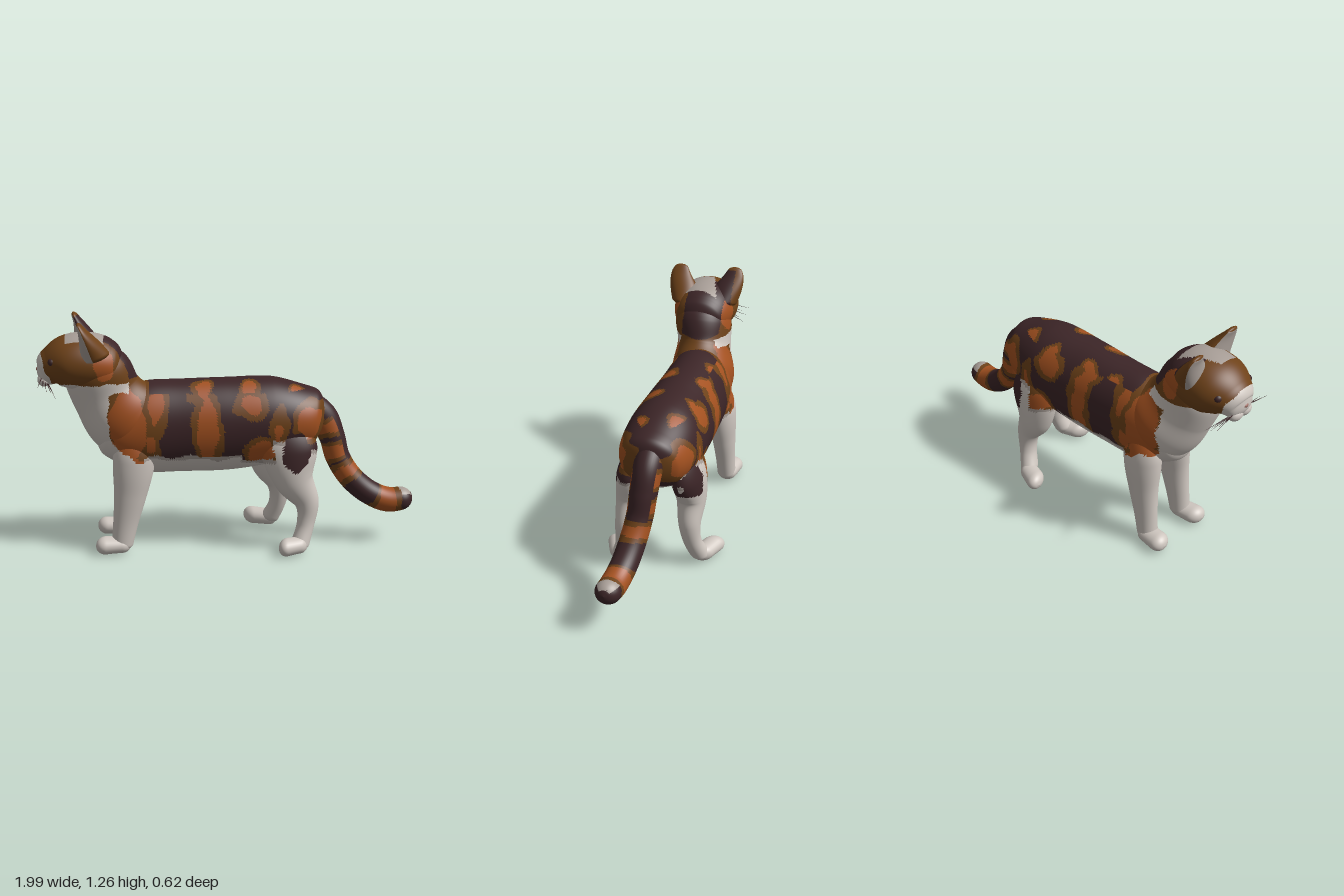
import * as THREE from 'three';

const mat = (name, color) => {
  const m = new THREE.MeshStandardMaterial({ color });
  m.name = name;
  return m;
};
const WHITE = 0, GREY = 1, ORANGE = 2, BROWN = 3, DARK = 4, PINK = 5;

// Ragged edge for the coat patches
const wobble = (x, y, z) =>
  0.009 * Math.sin(31 * x + 17 * y + 9 * z) + 0.005 * Math.sin(53 * y - 41 * x + 23 * z);

// Orange flank patches: x, y, radius x, radius y (same on both sides)
const patches = [
  [-0.53, 0.72, 0.095, 0.19], [-0.385, 0.82, 0.03, 0.09], [-0.12, 0.68, 0.05, 0.17],
  [-0.15, 0.86, 0.035, 0.03], [0.11, 0.81, 0.06, 0.05], [0.16, 0.56, 0.065, 0.06],
  [0.41, 0.71, 0.07, 0.085], [0.25, 0.67, 0.018, 0.05], [-0.42, 0.61, 0.03, 0.05],
];
// Small spots beside the dark line of the back: x, z, radius
const backSpots = [[-0.3, -0.11, 0.03], [-0.14, 0.09, 0.045], [-0.13, -0.12, 0.035], [0.1, 0.11, 0.045],
  [0.12, -0.13, 0.03], [0.31, -0.1, 0.04], [0.36, 0.11, 0.04]];

function bodyColor(x0, y0, z) {
  const n = wobble(x0, y0, z), x = x0 + n, y = y0 + n;
  if (x < -0.625 || (x < -0.52 && y > 0.88)) return WHITE;
  const onThigh = x > 0.22;
  if (onThigh && x < 0.42 && Math.abs(z) < 0.09 && y < 0.55) return WHITE;
  // dark spot on the thigh, ringed by pale fur
  if (onThigh && Math.hypot((x - 0.34) / 0.068, (y - 0.555) / 0.095) < 1) return DARK;
  const edge = x < -0.45 ? 0.56 - (x + 0.5) * 0.5 : x < 0.05 ? 0.54 : x < 0.22 ? 0.51 : x < 0.4 ? 0.63 : 0.56;
  if (y < edge - 0.02) return WHITE;
  if (y < edge) return x < -0.45 ? ORANGE : GREY;
  let d = 9;
  if (y0 > 0.865 && x > -0.42) {
    for (const [px, pz, r] of backSpots) d = Math.min(d, Math.hypot(x - px, z + n - pz) - r);
    return d < 0 ? ORANGE : d < 0.02 ? BROWN : DARK;
  }
  for (const [px, py, rx, ry] of patches) {
    const r = Math.hypot((x - px) / rx, (y - py) / ry);
    d = Math.min(d, (r - 1) * Math.min(rx, ry));
  }
  if (d < 0) return ORANGE;
  return d < 0.03 || x < -0.42 ? BROWN : DARK;
}

const HZ = 0.065; // the head sits a little to one side
function headColor(x0, y0, z) {
  const n = wobble(x0, y0, z) * 0.7, x = x0 + n, y = y0 + n, dz = z - HZ;
  if (y < 0.935 || x < -0.93 - (y - 1) * 0.4) return WHITE;
  // pale patch running from the left ear across the forehead
  if (y > 1.1 && x > -0.84 && x < -0.64 && dz > -0.09 - (x + 0.64) * 0.35 && dz < 0.1) return GREY;
  if (x > -0.77 && y > 0.955 && dz > -0.13 && dz < 0.075) return DARK;
  if (Math.hypot((x + 0.645) / 0.055, (y - 1.04) / 0.085) < 1) return ORANGE;
  return BROWN;
}
const neckColor = (x, y, z) => (y > 0.935 ? headColor(x, y, z) : bodyColor(x, y, z));

function tailColor(x, y, z, u, a) {
  const v = u + wobble(x, y, z);
  if (v > 0.93) return Math.cos(a) < -0.6 && v < 0.985 ? GREY : DARK;
  if (v > 0.74) return v > 0.9 || v < 0.77 ? BROWN : ORANGE;
  if (v > 0.58) return DARK;
  if (v > 0.45) return v > 0.48 && v < 0.55 ? ORANGE : BROWN;
  if (Math.cos(a) < -0.55) return DARK; // dark ridge along the top
  return Math.sin(38 * v) > 0.2 ? ORANGE : Math.sin(38 * v) > -0.8 ? BROWN : DARK;
}

export function createModel() {
  const cat = new THREE.Group();
  cat.name = 'cat';
  const materials = [
    mat('white fur', 0xcfc7c0), mat('grey fur', 0xa89e97), mat('orange fur', 0xa35120),
    mat('brown fur', 0x6e4219), mat('dark fur', 0x3c2527), mat('pink nose', 0x9a6a60),
  ];

  // Sweeps an ellipse along rows of [x, y, z, half depth, half width], with rounded ends.
  // Each face takes its colour from color(x, y, z, u, angle).
  function loft(name, rows, color, { n = 60, m = 40, cap0 = 0.1, cap1 = 0.1 } = {}) {
    const path = new THREE.CatmullRomCurve3(rows.map((r) => new THREE.Vector3(r[0], r[1], r[2])), false, 'catmullrom');
    const size = new THREE.CatmullRomCurve3(rows.map((r) => new THREE.Vector3(r[3], r[4], 0)), false, 'catmullrom');
    const pos = [], faces = materials.map(() => []);
    const param = (i) => {
      const t = i / n;
      return 0.5 * t + 0.25 * (1 - Math.cos(Math.PI * t));
    };
    for (let i = 0; i <= n; i++) {
      const u = param(i), p = path.getPoint(u), s = size.getPoint(u), t = path.getTangent(u);
      const len = Math.hypot(t.x, t.y) || 1;
      const e = Math.min(1, u / cap0, (1 - u) / cap1);
      const k = Math.max(0.002, Math.sqrt(Math.max(0, 1 - (1 - e) ** 2)));
      for (let j = 0; j < m; j++) {
        const a = (j / m) * Math.PI * 2, c = Math.cos(a) * s.x * k;
        pos.push(p.x + (t.y / len) * c, p.y - (t.x / len) * c, p.z + Math.sin(a) * s.y * k);
      }
    }
    const mid = (q, o) => (pos[q[0] * 3 + o] + pos[q[1] * 3 + o] + pos[q[2] * 3 + o]) / 3;
    for (let i = 0; i < n; i++) for (let j = 0; j < m; j++) {
      const a = i * m + j, b = i * m + ((j + 1) % m), c = a + m, d = b + m;
      for (const q of [[a, c, b], [b, c, d]]) {
        const id = typeof color === 'number' ? color
          : color(mid(q, 0), mid(q, 1), mid(q, 2), param(i + 0.5), ((j + 0.5) / m) * Math.PI * 2);
        faces[id].push(...q);
      }
    }
    const g = new THREE.BufferGeometry();
    g.setAttribute('position', new THREE.Float32BufferAttribute(pos, 3));
    g.setIndex(faces.flat());
    let start = 0;
    faces.forEach((f, id) => {
      if (f.length) g.addGroup(start, f.length, id);
      start += f.length;
    });
    g.computeVertexNormals();
    const mesh = new THREE.Mesh(g, materials);
    mesh.name = name;
    cat.add(mesh);
  }

  function ball(name, id, x, y, z, sx, sy, sz) {
    const mesh = new THREE.Mesh(new THREE.SphereGeometry(1, 20, 14), materials[id]);
    mesh.position.set(x, y, z);
    mesh.scale.set(sx, sy, sz);
    mesh.name = name;
    cat.add(mesh);
  }

  // Trunk, neck, head and tail
  loft('torso', [
    [0.51, 0.69, 0.01, 0.13, 0.11], [0.41, 0.70, 0.01, 0.17, 0.175], [0.24, 0.69, 0.005, 0.23, 0.205],
    [0.0, 0.67, 0.01, 0.25, 0.2], [-0.25, 0.665, 0.01, 0.25, 0.19], [-0.45, 0.665, 0.015, 0.245, 0.182],
    [-0.60, 0.68, 0.02, 0.19, 0.155], [-0.70, 0.70, 0.02, 0.12, 0.10],
  ], bodyColor, { n: 180, m: 110 });
  loft('neck', [
    [-0.42, 0.62, 0.015, 0.19, 0.16], [-0.55, 0.73, 0.02, 0.215, 0.175], [-0.635, 0.85, 0.04, 0.185, 0.15],
    [-0.685, 0.98, 0.06, 0.175, 0.158], [-0.73, 1.10, 0.065, 0.12, 0.13],
  ], neckColor, { n: 110, m: 90, cap0: 0.2, cap1: 0.2 });
  loft('head', [
    [-0.545, 1.01, HZ, 0.07, 0.09], [-0.62, 1.02, HZ, 0.122, 0.145], [-0.72, 1.035, HZ, 0.147, 0.172],
    [-0.83, 1.03, HZ, 0.142, 0.168], [-0.91, 1.005, HZ, 0.106, 0.125], [-0.955, 0.975, HZ, 0.068, 0.083],
    [-0.987, 0.962, HZ, 0.048, 0.058],
  ], headColor, { n: 110, m: 90, cap0: 0.12, cap1: 0.12 });
  loft('tail', [
    [0.40, 0.78, 0.0, 0.08, 0.08], [0.50, 0.695, 0.0, 0.082, 0.075], [0.555, 0.59, 0.005, 0.07, 0.072],
    [0.59, 0.47, 0.015, 0.066, 0.07], [0.66, 0.36, 0.03, 0.066, 0.07], [0.76, 0.275, 0.045, 0.066, 0.07],
    [0.87, 0.235, 0.06, 0.067, 0.07], [0.995, 0.255, 0.065, 0.06, 0.064],
  ], tailColor, { n: 110, m: 40, cap0: 0.03, cap1: 0.07 });

  for (const s of [1, -1]) {
    const side = s > 0 ? 'left' : 'right', at = (dz) => HZ + s * dz, yaw = s * 0.02;
    // Broad cupped ear growing out of the side of the head, with a pale inner face
    const earColor = (x, y, z, u, a) => {
      if (u < 0.95 && Math.cos(a) < (s > 0 ? -0.1 : -0.4)) return GREY;
      return s < 0 && z > HZ - 0.16 && u < 0.85 ? DARK : BROWN;
    };
    loft(side + 'Ear', [
      [-0.70 + yaw, 1.05, at(0.095), 0.09, 0.078], [-0.735 + yaw, 1.145, at(0.122), 0.052, 0.08],
      [-0.765 + yaw, 1.215, at(0.148), 0.024, 0.057], [-0.79 + yaw, 1.262, at(0.152), 0.01, 0.03],
    ], earColor, { n: 44, m: 48, cap1: 0.1 });
    ball(side + 'Eye', DARK, -0.905, 1.055, at(0.108), 0.022, 0.022, 0.026);
    ball(side + 'MuzzlePad', WHITE, -0.955, 0.948, at(0.032), 0.035, 0.035, 0.045);

    // Whiskers
    for (let i = 0; i < 5; i++) {
      const from = new THREE.Vector3(-0.965 + i * 0.008, 0.965 - i * 0.009, at(0.055));
      const to = new THREE.Vector3(-0.975 + i * 0.022, 0.945 - i * 0.014, at(0.2 - (i % 2) * 0.03));
      const dir = to.clone().sub(from);
      const w = new THREE.Mesh(new THREE.ConeGeometry(0.003, dir.length(), 6), materials[DARK]);
      w.position.copy(from).addScaledVector(dir, 0.5);
      w.quaternion.setFromUnitVectors(new THREE.Vector3(0, 1, 0), dir.normalize());
      w.name = side + 'Whisker';
      cat.add(w);
    }

    // Front leg
    const fz = s > 0 ? 0.015 : 0;
    loft(side + 'FrontLeg', [
      [-0.49, 0.68, s * 0.09 + fz, 0.12, 0.08], [-0.51, 0.47, s * 0.105 + fz, 0.108, 0.08],
      [-0.53, 0.32, s * 0.115 + fz, 0.086, 0.066], [-0.557, 0.17, s * 0.12 + fz, 0.067, 0.056],
      [-0.582, 0.02, s * 0.125 + fz, 0.054, 0.052],
    ], bodyColor, { n: 66, m: 46, cap0: 0.2, cap1: 0.06 });

    // Hind leg: the right one steps further forward
    const f = s > 0 ? 0 : 1;
    loft(side + 'HindLeg', [
      [0.31 - 0.02 * f, 0.73, s * 0.10, 0.14, 0.09], [0.31 - 0.06 * f, 0.55, s * 0.135, 0.15, 0.088],
      [0.335 - 0.095 * f, 0.40, s * 0.15, 0.108, 0.078], [0.405 - 0.115 * f, 0.27, s * 0.155, 0.066, 0.06],
      [0.40 - 0.115 * f, 0.15, s * 0.17, 0.047, 0.05], [0.36 - 0.125 * f, 0.025, s * 0.21, 0.05, 0.055],
    ], bodyColor, { n: 72, m: 50, cap0: 0.2, cap1: 0.06 });

    // Smooth rounded paws
    for (const [name, heel, toe, z0, z1] of [
      ['FrontPaw', -0.53, -0.718, s * 0.125 + fz, s * 0.145 + fz],
      ['HindPaw', 0.41 - 0.125 * f, 0.248 - 0.145 * f, s * 0.2, s * 0.265],
    ]) {
      loft(side + name, [
        [heel, 0.047, z0, 0.044, 0.052], [(heel + toe) / 2, 0.048, (z0 + z1) / 2, 0.045, 0.057],
        [toe, 0.048, z1, 0.05, 0.06],
      ], WHITE, { n: 32, m: 28, cap0: 0.25, cap1: 0.3 });
    }
  }
  ball('nose', PINK, -0.984, 0.998, HZ, 0.014, 0.012, 0.018);
  return cat;
}
